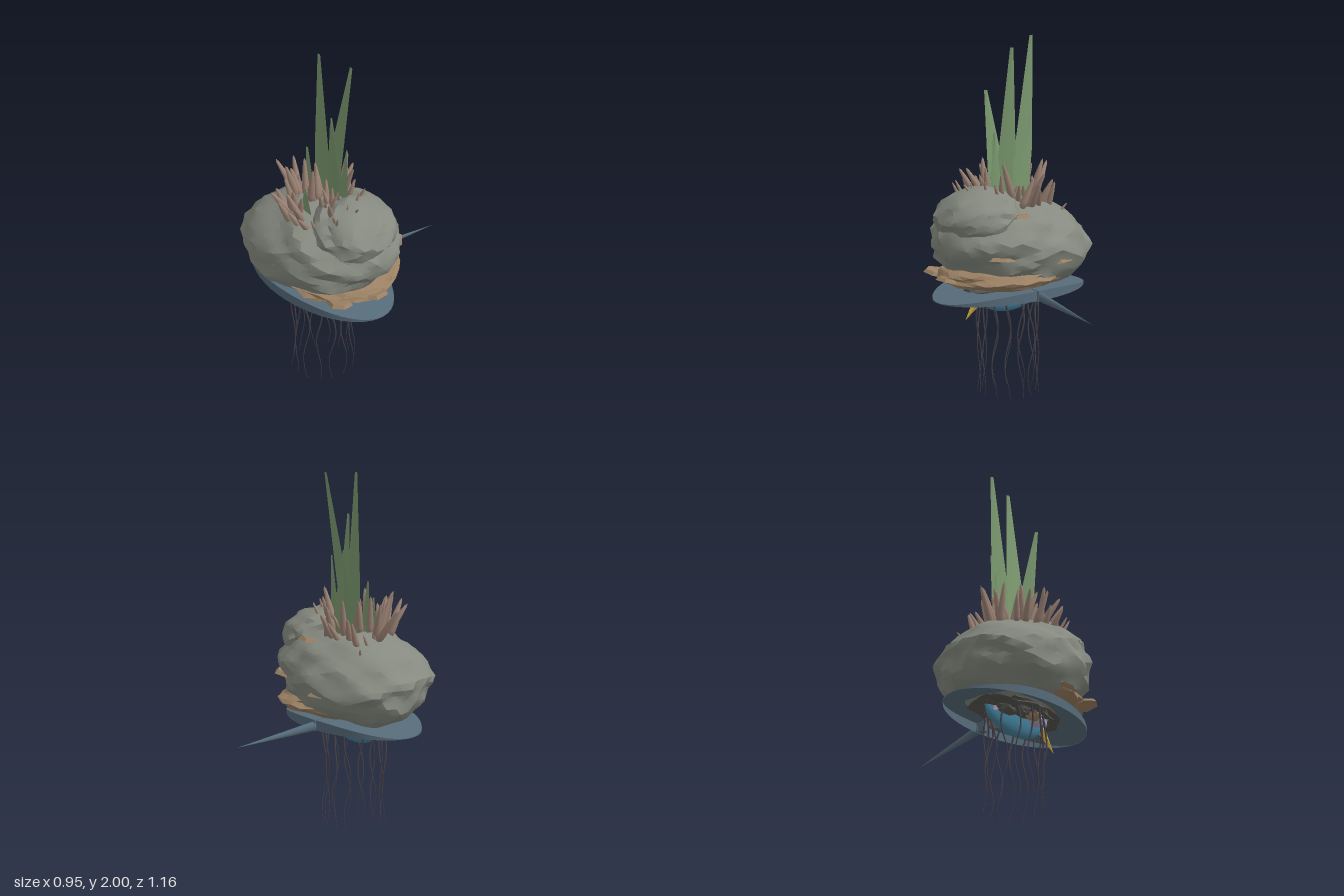
import * as THREE from 'three';
import { mergeVertices, toCreasedNormals } from 'three/addons/utils/BufferGeometryUtils.js';

const CZ = 0.2; // depth of the body's axis
const mat = (color, side = THREE.FrontSide, flatShading = false) =>
  new THREE.MeshStandardMaterial({ color, side, flatShading });

const STONE = mat(0x868a80);
const DARK_STONE = mat(0x55544f, THREE.FrontSide, true);
const TAN = mat(0x9a8063, THREE.DoubleSide, true);
const SLATE = mat(0x566b79, THREE.DoubleSide);
const BLUE = mat(0x4584a0);
const GREEN = mat(0x7c9a70, THREE.DoubleSide);
const BROWN = mat(0x9c8375);
const LILAC = mat(0xb3a4bb);
const YELLOW = mat(0xc09c3a, THREE.DoubleSide, true);
const ROOT = mat(0x45414a);

let seed = 7;
const rnd = () => {
  seed = (seed * 16807) % 2147483647;
  return seed / 2147483647;
};
const range = (a, b) => a + (b - a) * rnd();

export function createModel() {
  const model = new THREE.Group();
  const add = (name, geometry, material, parent = model) => {
    const m = new THREE.Mesh(geometry, material);
    m.name = name;
    parent.add(m);
    return m;
  };
  const group = (name) => {
    const g = new THREE.Group();
    g.name = name;
    model.add(g);
    return g;
  };

  // Lumpy boulder: a sphere pushed in and out by layered waves, tilted along x
  function boulder({ c, r, slope = 0 }, detail, amount, phase) {
    let g = new THREE.IcosahedronGeometry(1, detail);
    g.deleteAttribute('normal');
    g.deleteAttribute('uv');
    g = mergeVertices(g, 1e-4);
    const p = g.attributes.position;
    for (let i = 0; i < p.count; i++) {
      const x = p.getX(i), y = p.getY(i), z = p.getZ(i);
      const n = 0.4 * Math.sin(4.1 * x + 3 * y + phase) * Math.sin(3.7 * z - 2 * x + phase * 2)
        + 0.5 * Math.sin(9 * y + 4 * z + 2 * x + phase * 3) * Math.sin(6 * x - 5 * z + phase)
        + 0.35 * Math.sin(13 * x + 7 * z + phase) * Math.sin(12 * y - 9 * z);
      const k = 1 + amount * n;
      const px = x * k * r[0];
      p.setXYZ(i, c[0] + px, c[1] + y * k * r[1] + slope * px, c[2] + z * k * r[2]);
    }
    return toCreasedNormals(g, 0.5);
  }

  // Body: a broad boulder with an upper lump, and a tan layer low on the left and back
  const MAIN = { c: [-0.01, 0.845, CZ], r: [0.455, 0.255, 0.38], slope: 0.09 };
  const LUMP = { c: [0.22, 1.025, 0.18], r: [0.235, 0.15, 0.24], slope: -0.06 };
  add('mainBoulder', boulder(MAIN, 7, 0.08, 0.6), STONE);
  add('upperLump', boulder(LUMP, 5, 0.11, 2.1), STONE);
  add('tanLayer', boulder({ c: [0.08, 0.695, 0.165], r: [0.35, 0.075, 0.325] }, 4, 0.11, 4.4), TAN);

  // Ragged plates sticking out of the boulder's flanks
  const plates = group('tanPlates');
  for (const [x, y, z, w, turn] of [[0.4, 0.69, 0.2, 0.1, 0], [0.34, 0.69, 0.4, 0.09, -0.9],
    [0.25, 0.83, -0.05, 0.11, 0.8], [-0.1, 0.78, -0.1, 0.11, 1.8], [-0.31, 0.82, 0.05, 0.09, 2.5],
    [-0.04, 0.84, 0.5, 0.09, -1.6], [0.1, 1.04, -0.01, 0.1, 1.4]]) {
    const plate = add('tanPlate', new THREE.CylinderGeometry(w * 0.65, w * 0.8, 0.02, 6), TAN, plates);
    plate.position.set(x, y, z);
    plate.rotation.set(0, turn, 0.2);
  }

  // Oval saucer, its top arched from side to side over a level lower edge
  const saucerProfile = [[0.6, 1], [0.8, 1], [1, 1], [1, 0]].map(([r, y]) => new THREE.Vector2(r, y));
  const saucerGeo = new THREE.LatheGeometry(saucerProfile, 48);
  const sp = saucerGeo.attributes.position;
  for (let i = 0; i < sp.count; i++) {
    const x = sp.getX(i);
    sp.setXYZ(i, x * 0.475, 0.566 + sp.getY(i) * (0.004 + 0.052 * (1 - x * x)), CZ + sp.getZ(i) * 0.28);
  }
  add('saucer', toCreasedNormals(saucerGeo, 0.6), SLATE);

  // Underside: blue keel, dark rubble and lilac pebbles
  const keel = add('blueKeel', new THREE.SphereGeometry(1, 32, 20), BLUE);
  keel.scale.set(0.21, 0.115, 0.05);
  keel.position.set(-0.01, 0.57, CZ);
  const rubble = group('undersideRubble');
  add('rubbleBed', boulder({ c: [0, 0.6, CZ], r: [0.28, 0.045, 0.17] }, 4, 0.2, 3), DARK_STONE, rubble);
  for (let i = 0; i < 10; i++) {
    const a = i * Math.PI / 5;
    const s = range(0.035, 0.05);
    const shape = { c: [0.14 * Math.cos(a), 0.57, CZ + 0.1 * Math.sin(a)], r: [s * 1.4, s * 0.8, s] };
    add('rubble', boulder(shape, 2, 0.25, i), i % 4 === 1 ? LILAC : i % 5 === 2 ? TAN : DARK_STONE, rubble);
  }

  // Long pointed leaf: flat diamond sections along a straight spine
  function blade(base, tip, width, tipWidth, yaw) {
    const pos = [], idx = [], n = 10;
    for (let i = 0; i <= n; i++) {
      const t = i / n;
      const w = 0.5 * (t < 0.25 ? width * (0.7 + 1.2 * t) : THREE.MathUtils.lerp(width, tipWidth, (t - 0.25) / 0.75));
      for (const [s, d] of [[-1, 0], [0, 0.005], [1, 0], [0, -0.005]]) {
        pos.push(
          THREE.MathUtils.lerp(base[0], tip[0], t) + s * w * Math.cos(yaw),
          THREE.MathUtils.lerp(base[1], tip[1], t),
          THREE.MathUtils.lerp(base[2], tip[2], t) + s * w * Math.sin(yaw) + d);
      }
      if (i < n) for (let k = 0; k < 4; k++) {
        const a = i * 4 + k, b = i * 4 + (k + 1) % 4;
        idx.push(a, b, b + 4, a, b + 4, a + 4);
      }
    }
    const g = new THREE.BufferGeometry();
    g.setAttribute('position', new THREE.Float32BufferAttribute(pos, 3));
    g.setIndex(idx);
    return toCreasedNormals(g, 0.6);
  }

  // Tall green leaves
  const leaves = group('leaves');
  for (const [b, t, w, tw, yaw] of [
    [[-0.045, 1.08, 0.155], [-0.105, 1.998, 0.13], 0.125, 0.022, 0.05],
    [[0.03, 1.08, 0.19], [0.08, 1.97, 0.065], 0.12, 0.022, 0.1],
    [[0.07, 1.08, 0.18], [0.115, 1.7, 0.25], 0.11, 0.02, 0.1],
    [[0.0, 1.08, 0.08], [-0.06, 1.56, 0.08], 0.08, 0.015, 0],
    [[0.11, 1.08, 0.16], [0.135, 1.48, 0.15], 0.07, 0.014, 0.1],
    [[-0.09, 1.05, 0.2], [-0.135, 1.38, 0.19], 0.07, 0.02, 0.1],
    [[0.0, 1.03, 0.32], [0.0, 1.24, 0.335], 0.08, 0.015, 0.05]]) {
    add('leaf', blade(b, t, w, tw, yaw), GREEN, leaves);
  }

  // Brown spikes bristling outwards from the crown
  const top = ({ c, r, slope }, x, z) => {
    const q = 1 - ((x - c[0]) / r[0]) ** 2 - ((z - c[2]) / r[2]) ** 2;
    return q > 0 ? c[1] + r[1] * Math.sqrt(q) + slope * (x - c[0]) : 0;
  };
  const spikeGeo = new THREE.LatheGeometry([[0, 0], [0.11, 0.06], [0.13, 0.25], [0.1, 0.6], [0.05, 0.92], [0, 1]]
    .map(([r, y]) => new THREE.Vector2(r, y)), 7);
  const spikes = group('spikes');
  const up = new THREE.Vector3(0, 1, 0);
  const spike = (x, z, length) => {
    const m = add('spike', spikeGeo, BROWN, spikes);
    m.position.set(x, Math.max(top(MAIN, x, z), top(LUMP, x, z)) - 0.02, z);
    const dir = new THREE.Vector3(x * 1.5 + range(-0.4, 0.4), 1, (z - CZ) * 2.6 + range(-0.25, 0.25));
    m.quaternion.setFromUnitVectors(up, dir.normalize());
    const girth = Math.min(length * 0.9, 0.16);
    m.scale.set(girth, length, girth);
  };
  // long ones in front, behind and on the right, short ones over the whole crown
  for (let i = 0; i < 12; i++) spike(range(-0.17, 0.1), range(0.29, 0.42), range(0.13, 0.25));
  for (let i = 0; i < 11; i++) spike(range(-0.18, 0.06), range(0.03, 0.11), range(0.13, 0.25));
  for (let i = 0; i < 11; i++) spike(range(-0.21, -0.03), range(0.15, 0.24), range(0.13, 0.25));
  for (let i = 0; i < 10; i++) spike(range(0.05, 0.19), range(0.07, 0.32), range(0.08, 0.15));
  for (let i = 0; i < 16; i++) spike(range(-0.24, 0.26), range(0.05, 0.4), range(0.05, 0.09));

  // Lilac bud among the front spikes
  const bud = add('lilacBud', new THREE.SphereGeometry(0.035, 12, 8), LILAC);
  bud.position.set(0.05, 1.03, 0.42);
  bud.scale.set(1.2, 0.8, 0.8);

  // Slate tail reaching back, slightly drooping
  const tail = add('tail', new THREE.ConeGeometry(0.02, 0.52, 10), SLATE);
  const tailDir = new THREE.Vector3(0.04, -0.05, -0.52).normalize();
  tail.quaternion.setFromUnitVectors(up, tailDir);
  tail.position.set(0.015, 0.562, -0.33);
  tail.scale.z = 1.4;
  const tailRoot = add('tailRoot', new THREE.BoxGeometry(0.036, 0.06, 0.06), SLATE);
  tailRoot.position.set(0, 0.595, -0.06);

  // Yellow beak pointing down on the left
  const beak = add('beak', new THREE.ConeGeometry(0.042, 0.17, 4), YELLOW);
  beak.quaternion.setFromUnitVectors(up, new THREE.Vector3(0.65, -0.76, 0));
  beak.position.set(0.24, 0.51, CZ);
  beak.scale.z = 0.45;

  // Ring of thin wavy roots hanging to the ground
  const roots = group('roots');
  const ROOTS = 14;
  for (let i = 0; i < ROOTS; i++) {
    const a = (i / ROOTS) * Math.PI * 2;
    const ph = range(0, 6);
    const pts = [];
    for (let k = 0; k <= 8; k++) {
      const t = k / 8;
      const r = 0.162 + 0.012 * Math.sin(t * 8 + ph);
      const swing = a + 0.1 * Math.sin(t * 9 + ph * 1.7);
      pts.push(new THREE.Vector3(r * Math.cos(swing), 0.58 * (1 - t), CZ + r * Math.sin(swing)));
    }
    const curve = new THREE.CatmullRomCurve3(pts);
    const g = new THREE.TubeGeometry(curve, 28, 0.0058, 6);
    // taper every ring towards the ground
    const p = g.attributes.position, v = new THREE.Vector3();
    for (let k = 0; k < p.count; k++) {
      const t = Math.floor(k / 7) / 28;
      const c = curve.getPointAt(t);
      v.fromBufferAttribute(p, k).sub(c).multiplyScalar(1 - 0.8 * t).add(c);
      p.setXYZ(k, v.x, Math.max(v.y, 0), v.z);
    }
    add('root', g, ROOT, roots);
  }
  return model;
}
